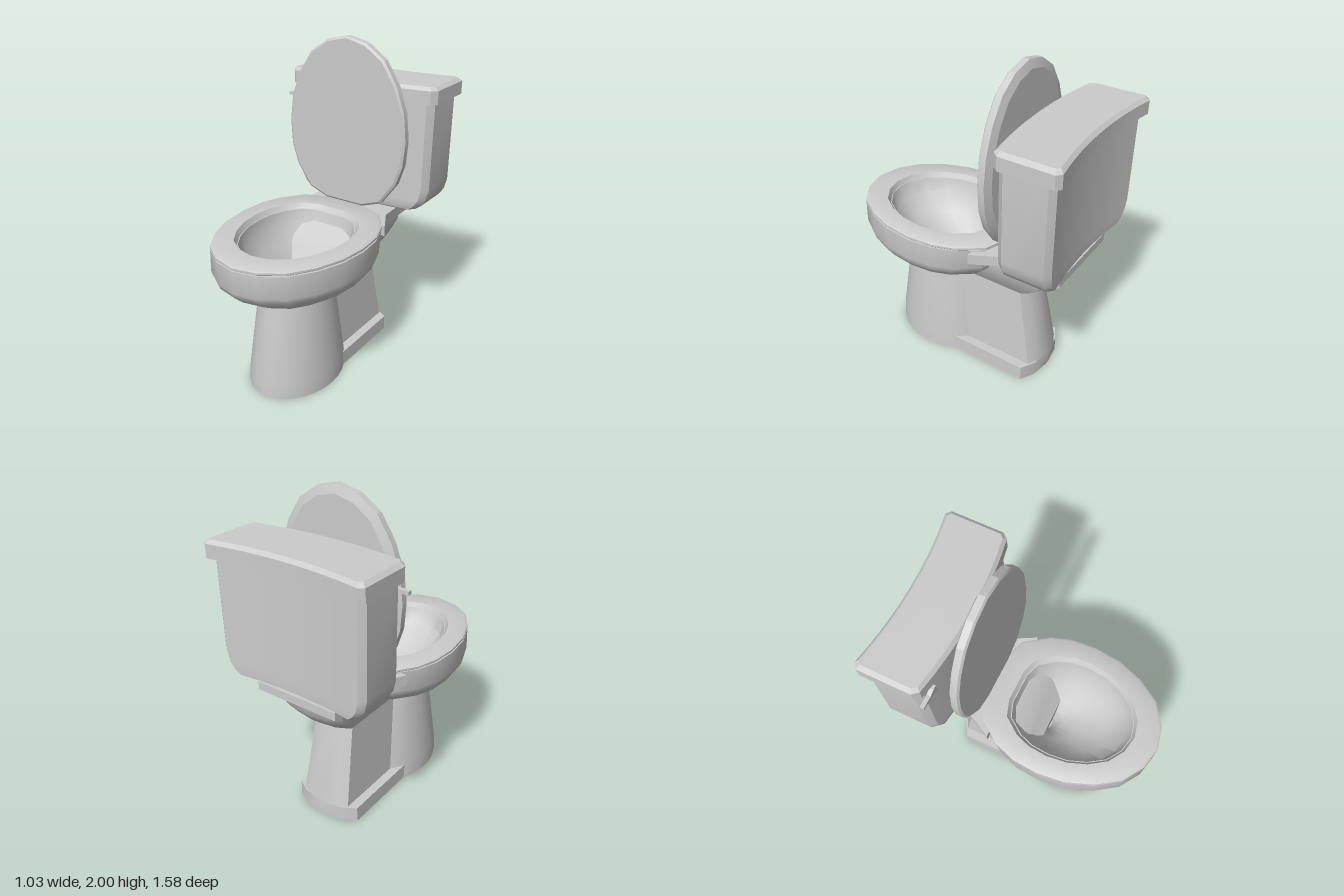
import * as THREE from 'three';
import { toCreasedNormals } from 'three/addons/utils/BufferGeometryUtils.js';

const grey = new THREE.MeshStandardMaterial({ color: 0xcccccc });
const greyDouble = new THREE.MeshStandardMaterial({ color: 0xcccccc, side: THREE.DoubleSide });

// Skin a stack of equal-sized rings (counter-clockwise from above), with optional end caps.
function loft(rings, capStart = true, capEnd = true, crease = 0.6) {
  const n = rings[0].length, pos = rings.flat(2), index = [];
  for (let i = 0; i < rings.length - 1; i++)
    for (let j = 0; j < n; j++) {
      const k = (j + 1) % n, a = i * n + j, b = i * n + k;
      index.push(a, b, b + n, a, b + n, a + n);
    }
  const cap = (i, flip) => {
    const c = [0, 1, 2].map(d => rings[i].reduce((s, p) => s + p[d], 0) / n);
    const m = pos.length / 3;
    pos.push(...c);
    for (let j = 0; j < n; j++) {
      const a = i * n + j, b = i * n + (j + 1) % n;
      index.push(m, flip ? b : a, flip ? a : b);
    }
  };
  if (capStart) cap(0, true);
  if (capEnd) cap(rings.length - 1, false);
  const g = new THREE.BufferGeometry();
  g.setAttribute('position', new THREE.Float32BufferAttribute(pos, 3));
  g.setIndex(index);
  return toCreasedNormals(g, crease);
}

// Half of the egg outline: x as a share of the half width, t from front (0) to back (1).
const EGG = [[0, 0], [0.32, 0.03], [0.61, 0.11], [0.82, 0.24], [0.955, 0.39], [1, 0.55],
  [0.97, 0.7], [0.87, 0.82], [0.63, 0.955], [0.32, 1]];
const EGG_FULL = [...EGG, ...EGG.slice(1).reverse().map(([x, t]) => [-x, t])];
const egg = ([y, hw, front, back]) =>
  EGG_FULL.map(([x, t]) => [x * hw, y, front + (back - front) * t]);

const ellipse = ([y, rx, rz, cz]) => Array.from({ length: 28 }, (_, i) => {
  const a = i / 28 * Math.PI * 2;
  return [rx * Math.cos(a), y, cz - rz * Math.sin(a)];
});

// Straight sides with a shallow rounded back.
const heel = ([y, hw, front, back, bulge]) =>
  [[hw, front], [hw, back + bulge], [hw * 0.6, back + bulge * 0.3], [0, back],
    [-hw * 0.6, back + bulge * 0.3], [-hw, back + bulge], [-hw, front]].map(([x, z]) => [x, y, z]);

// Rectangle with chamfered corners, bowed forward in the middle.
const bowed = ([y, hw, front, back, c]) => {
  const pts = [[hw, front - c], [hw, back + c]], steps = 8, w = hw - c;
  for (let i = 0; i <= steps; i++) pts.push([w - 2 * w * i / steps, back]);
  pts.push([-hw, back + c], [-hw, front - c]);
  for (let i = 0; i <= steps; i++) pts.push([-w + 2 * w * i / steps, front]);
  return pts.map(([x, z]) => [x, y, z - 0.2 * x * x]);
};

export function createModel() {
  const model = new THREE.Group();
  const add = (name, geometry, material = grey) => {
    const mesh = new THREE.Mesh(geometry, material);
    mesh.name = name;
    model.add(mesh);
    return mesh;
  };

  // Pedestal column, hollow underneath
  add('pedestal', loft([
    [0, 0.265, 0.345, 0.23], [0.1, 0.262, 0.342, 0.23], [0.6, 0.2, 0.27, 0.23],
  ].map(ellipse), false, false), greyDouble);

  // Rear foot, trapway and the flared support under the tank
  add('trapway', loft([
    [0, 0.22, 0.05, -0.535, 0.07], [0.095, 0.22, 0.05, -0.535, 0.07],
    [0.095, 0.165, 0.05, -0.535, 0.05], [0.6, 0.135, 0.1, -0.43, 0.04],
  ].map(heel), false, false), greyDouble);
  add('rearSupport', loft([
    [0.6, 0.135, 0.1, -0.43, 0.04], [0.65, 0.165, 0.1, -0.51, 0.05],
    [0.71, 0.195, 0.05, -0.58, 0.06], [0.79, 0.22, 0, -0.645, 0.06],
    [0.87, 0.225, -0.1, -0.66, 0.06],
  ].map(heel)));

  // Shelf between bowl and tank
  const shelf = ([y, front, back]) =>
    [[0.36, front], [0.28, -0.32], [0.27, back], [-0.27, back], [-0.28, -0.32], [-0.36, front]]
      .map(([x, z]) => [x, y, z]);
  add('tankShelf', loft([
    [0.865, -0.17, -0.69], [0.88, -0.17, -0.71], [0.93, -0.17, -0.71],
  ].map(shelf)));

  // Bowl: up the outside, over the rim and down into the basin
  add('bowl', loft([
    [0.6, 0.2, 0.5, 0], [0.655, 0.315, 0.62, -0.1], [0.715, 0.395, 0.715, -0.19],
    [0.765, 0.43, 0.77, -0.24], [0.8, 0.44, 0.785, -0.26], [0.935, 0.44, 0.785, -0.28],
    [0.935, 0.3, 0.615, -0.12], [0.85, 0.285, 0.58, -0.1], [0.75, 0.22, 0.46, -0.07],
    [0.66, 0.14, 0.28, -0.045], [0.6, 0.085, 0.16, -0.035], [0.5, 0.065, 0.1, -0.03],
  ].map(egg), false, true));

  // Seat ring
  const seatRings = [
    [0.94, 0.325, 0.635, -0.145], [0.94, 0.435, 0.78, -0.285], [0.945, 0.44, 0.787, -0.29],
    [0.957, 0.44, 0.787, -0.29], [0.967, 0.425, 0.77, -0.275],
    [0.967, 0.325, 0.635, -0.145], [0.925, 0.3, 0.615, -0.12],
  ];
  add('seat', loft(seatRings.map(egg), false, false), greyDouble);

  // Raised lid, lofted flat and turned upright
  const lid = loft([
    [0.265, 0.4, 1.988, 0.982], [0.275, 0.414, 2, 0.97], [0.314, 0.414, 2, 0.97],
    [0.332, 0.365, 1.95, 1.02],
  ].map(egg), true, true, 0.3);
  add('lid', lid.rotateX(-Math.PI / 2));

  // Tank with rounded lower corners
  add('tank', loft([
    [0.935, 0.36, -0.425, -0.69, 0.02], [0.95, 0.405, -0.4, -0.71, 0.03],
    [0.975, 0.44, -0.39, -0.712, 0.035], [1.02, 0.47, -0.39, -0.712, 0.035],
    [1.09, 0.487, -0.39, -0.712, 0.035], [1.65, 0.49, -0.39, -0.712, 0.035],
  ].map(bowed)));
  add('tankLid', loft([
    [1.635, 0.515, -0.37, -0.745, 0.03], [1.715, 0.515, -0.37, -0.745, 0.03],
    [1.735, 0.49, -0.39, -0.725, 0.02],
  ].map(bowed), true, true, 0.35));

  // Flush lever: thin grip widening to its mount
  const lever = new THREE.Shape([
    [-0.52, -0.01], [-0.445, -0.01], [-0.41, -0.025], [-0.385, -0.025],
    [-0.385, 0.025], [-0.41, 0.025], [-0.445, 0.01], [-0.52, 0.01],
  ].map(p => new THREE.Vector2(...p)));
  add('flushLever', new THREE.ExtrudeGeometry(lever, { depth: 0.025, bevelEnabled: false }))
    .position.set(0, 1.565, -0.425);

  return model;
}
